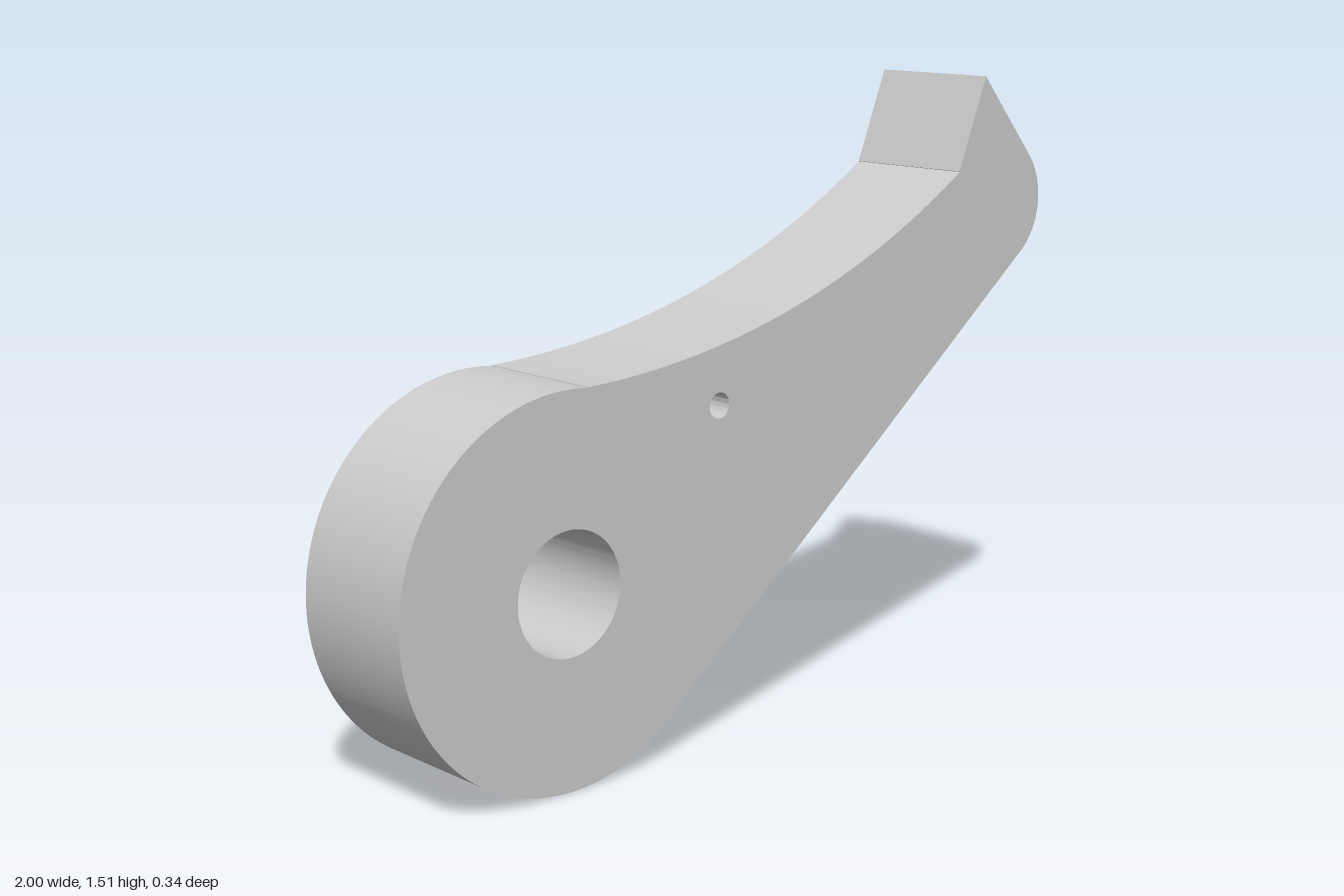
import * as THREE from 'three';
import { toCreasedNormals } from 'three/addons/utils/BufferGeometryUtils.js';

const THICKNESS = 0.34;
const HUB = { x: -0.547, y: 0.454, r: 0.453 };
const NOSE = { x: 0.831, y: 1.194, r: 0.169 };

function circleHole(x, y, r) {
  return new THREE.Path().absarc(x, y, r, 0, Math.PI * 2, true);
}

export function createModel() {
  const group = new THREE.Group();
  group.name = 'pawl';

  // Direction of the straight underside, tangent to hub and nose
  const dx = NOSE.x - HUB.x, dy = NOSE.y - HUB.y;
  const slope = Math.atan2(dy, dx) + Math.asin((HUB.r - NOSE.r) / Math.hypot(dx, dy));
  const under = slope - Math.PI / 2;

  // Outline, counter-clockwise: underside, nose, tooth, concave back, hub
  const hubTop = Math.acos(0.057 / HUB.r);
  const outline = new THREE.Shape();
  outline.moveTo(HUB.x + HUB.r * Math.cos(under), HUB.y + HUB.r * Math.sin(under));
  outline.absarc(NOSE.x, NOSE.y, NOSE.r, under, 0.685, false);
  outline.lineTo(0.787, 1.507);
  outline.lineTo(0.697, 1.28);
  const back = { x: -0.546, y: 3.154, r: 2.25 };
  outline.absarc(back.x, back.y, back.r,
    Math.atan2(1.28 - back.y, 0.697 - back.x), Math.atan2(0.904 - back.y, -0.49 - back.x), true);
  outline.absarc(HUB.x, HUB.y, HUB.r, hubTop, under + Math.PI * 2, false);

  // Pivot bore and small pin hole
  outline.holes.push(circleHole(HUB.x, HUB.y, 0.144), circleHole(-0.104, 0.81, 0.03));

  const plate = new THREE.ExtrudeGeometry(outline, {
    depth: THICKNESS, bevelEnabled: false, curveSegments: 48,
  });
  plate.translate(0, 0, -THICKNESS / 2);

  const lever = new THREE.Mesh(
    toCreasedNormals(plate, 0.4),
    new THREE.MeshStandardMaterial({ color: 0xcccccc }),
  );
  lever.name = 'pawlLever';
  group.add(lever);
  return group;
}
